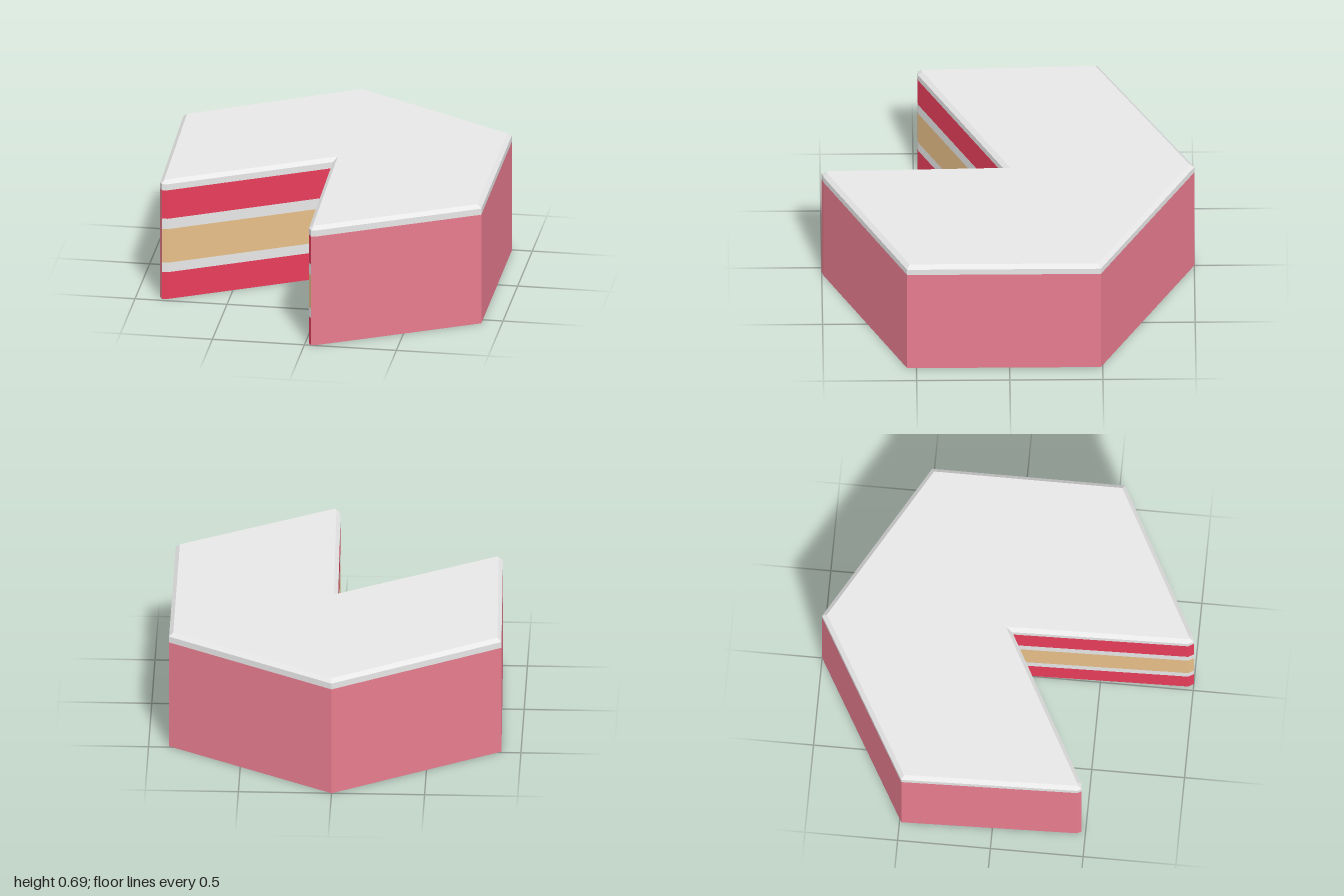
import * as THREE from 'three';

const pink = new THREE.MeshStandardMaterial({ name: 'pinkIcing', color: 0xf08194 });
const red = new THREE.MeshStandardMaterial({ name: 'redSponge', color: 0xee405d });
const white = new THREE.MeshStandardMaterial({ name: 'whiteCream', color: 0xededed });
const tan = new THREE.MeshStandardMaterial({ name: 'tanSponge', color: 0xe8c089 });

// Outline [x, z], clockwise seen from above: six-sided cake with a wedge removed
const outline = [
  [-0.858, 0.478], [-0.87, 0.455], [-0.895, -0.49], [0, -1], [0.89, -0.49], [0.89, 0.55],
  [0.07, 0.99], [0.037, 1], // end of iced outside
  [0.02, 0.97], [0, 0.025], [-0.825, 0.474], // cut faces
];
const OUTER = 7; // edges 0..6 are iced, the rest are cut faces
const count = outline.length;
const RIM = 0.665, TOP = 0.685, BEVEL = 0.022;

// Mitred inset of the outline
function inset(points, t) {
  const normal = (a, b) => {
    const dx = b[0] - a[0], dz = b[1] - a[1], l = Math.hypot(dx, dz);
    return [dz / l, -dx / l];
  };
  return points.map((p, i) => {
    const m = normal(points[(i + count - 1) % count], p);
    const n = normal(p, points[(i + 1) % count]);
    const k = t / (1 + m[0] * n[0] + m[1] * n[1]);
    return [p[0] - k * (m[0] + n[0]), p[1] - k * (m[1] + n[1])];
  });
}

// Flat-sided wall over a run of outline edges, from one loop up to another
function wall(name, material, from, to, lower, y0, upper, y1) {
  const pos = [];
  for (let i = from; i < to; i++) {
    const j = (i + 1) % count;
    const a = [lower[i][0], y0, lower[i][1]], b = [lower[j][0], y0, lower[j][1]];
    const c = [upper[j][0], y1, upper[j][1]], d = [upper[i][0], y1, upper[i][1]];
    pos.push(...b, ...a, ...d, ...b, ...d, ...c);
  }
  const g = new THREE.BufferGeometry();
  g.setAttribute('position', new THREE.Float32BufferAttribute(pos, 3));
  g.computeVertexNormals();
  const mesh = new THREE.Mesh(g, material);
  mesh.name = name;
  return mesh;
}

// Horizontal cap facing up (1) or down (-1)
function cap(name, material, points, y, dir) {
  const shape = new THREE.Shape(points.map(([x, z]) => new THREE.Vector2(x, -dir * z)));
  const g = new THREE.ShapeGeometry(shape);
  g.rotateX(-dir * Math.PI / 2);
  g.translate(0, y, 0);
  const mesh = new THREE.Mesh(g, material);
  mesh.name = name;
  return mesh;
}

export function createModel() {
  const cake = new THREE.Group();
  cake.name = 'cutCake';
  const topLoop = inset(outline, BEVEL);

  // Iced outside and base
  cake.add(wall('outerIcing', pink, 0, OUTER, outline, 0, outline, 0.63));
  cake.add(cap('base', pink, outline, 0, -1));

  // Layers on the cut faces
  const layers = [
    ['lowerSponge', red, 0, 0.155], ['lowerCream', white, 0.155, 0.21],
    ['middleSponge', tan, 0.21, 0.405], ['upperCream', white, 0.405, 0.465],
    ['upperSponge', red, 0.465, 0.63],
  ];
  for (const [name, material, y0, y1] of layers) {
    cake.add(wall(name, material, OUTER, count, outline, y0, outline, y1));
  }

  // Cream top with bevelled rim
  cake.add(wall('topCreamSide', white, 0, count, outline, 0.63, outline, RIM));
  cake.add(wall('topCreamBevel', white, 0, count, outline, RIM, topLoop, TOP));
  cake.add(cap('topCream', white, topLoop, TOP, 1));
  return cake;
}
